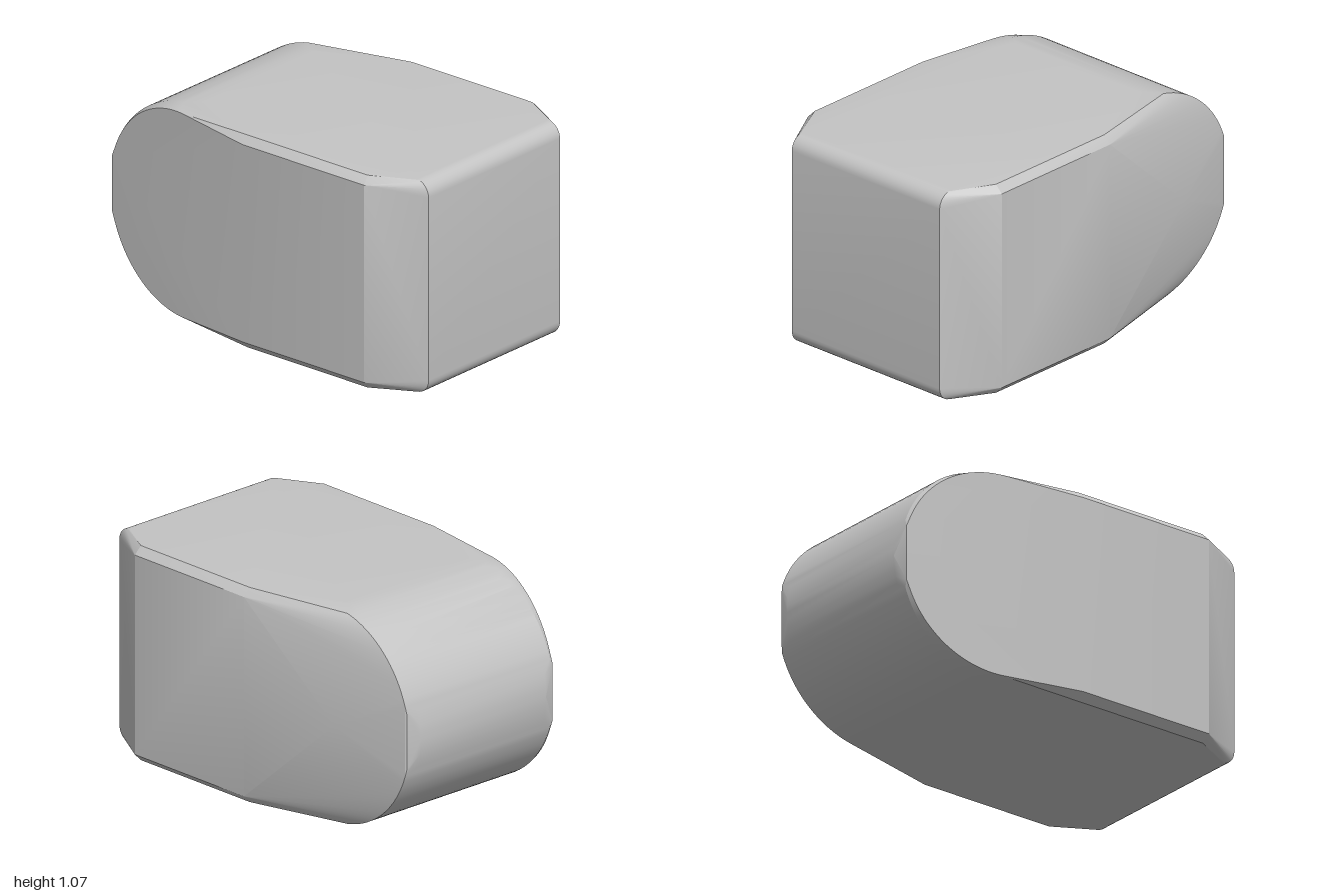
import * as THREE from 'three';
import { ConvexGeometry } from 'three/addons/geometries/ConvexGeometry.js';
import { toCreasedNormals } from 'three/addons/utils/BufferGeometryUtils.js';

const MID = 0.538, HALF = 0.537; // mid height and half height

export function createModel() {
  const group = new THREE.Group();
  const stone = new THREE.MeshStandardMaterial({ color: 0xc4c4c4 });
  const points = [];
  // adds a point and its mirror below mid height
  const add = (x, z, h) => {
    points.push(new THREE.Vector3(x, MID + h, z));
    if (h > 0) points.push(new THREE.Vector3(x, MID - h, z));
  };

  // flat top and bottom outline, with the bevelled side edges below it
  for (const [x, z] of [[-0.595, -0.02], [-0.575, 0.72], [0.57, -0.04], [0.59, 0.7]]) add(x, z, HALF);
  for (const [x, z] of [[-0.63, -0.02], [-0.61, 0.73], [0.608, -0.04], [0.628, 0.7]]) add(x, z, HALF - 0.038);

  // rounded front edges
  const r = 0.075;
  for (const [x, z] of [[-0.455, 0.995], [0.485, 0.968]]) {
    for (let i = 0; i <= 8; i++) {
      const a = (i / 8) * Math.PI / 2;
      add(x, z - r + r * Math.cos(a), HALF - r + r * Math.sin(a));
    }
  }

  // half-round back, its ends clipped into small corner facets
  const steps = 24;
  for (let i = 0; i <= steps; i++) {
    const a = (i / steps) * Math.PI / 2;
    const h = HALF * Math.cos(a), back = HALF * Math.sin(a);
    const zAt = (x) => -0.455 - 0.025 * x - back;
    add(-0.44, zAt(-0.44), h);
    add(0.36, zAt(0.36), h);
    if (zAt(-0.49) > -0.955 && back > 0.06) add(-0.49, zAt(-0.49), h);
    if (zAt(0.435) > -0.98 && back > 0.08) add(0.435, zAt(0.435), h);
    // rim of the flat right-hand side
    const z = -0.455 - back * 0.96;
    if (z > -0.955) add(-0.63 - 0.134 * (z + 0.02), z, h * 0.96);
  }
  add(-0.505, -0.955, 0.14);
  add(0.43, -0.98, 0.14);

  // shallow peak on the left-hand side
  add(0.545, -0.6, 0);

  const block = new THREE.Mesh(toCreasedNormals(new ConvexGeometry(points), 0.35), stone);
  block.name = 'roundedBlock';
  group.add(block);
  return group;
}
